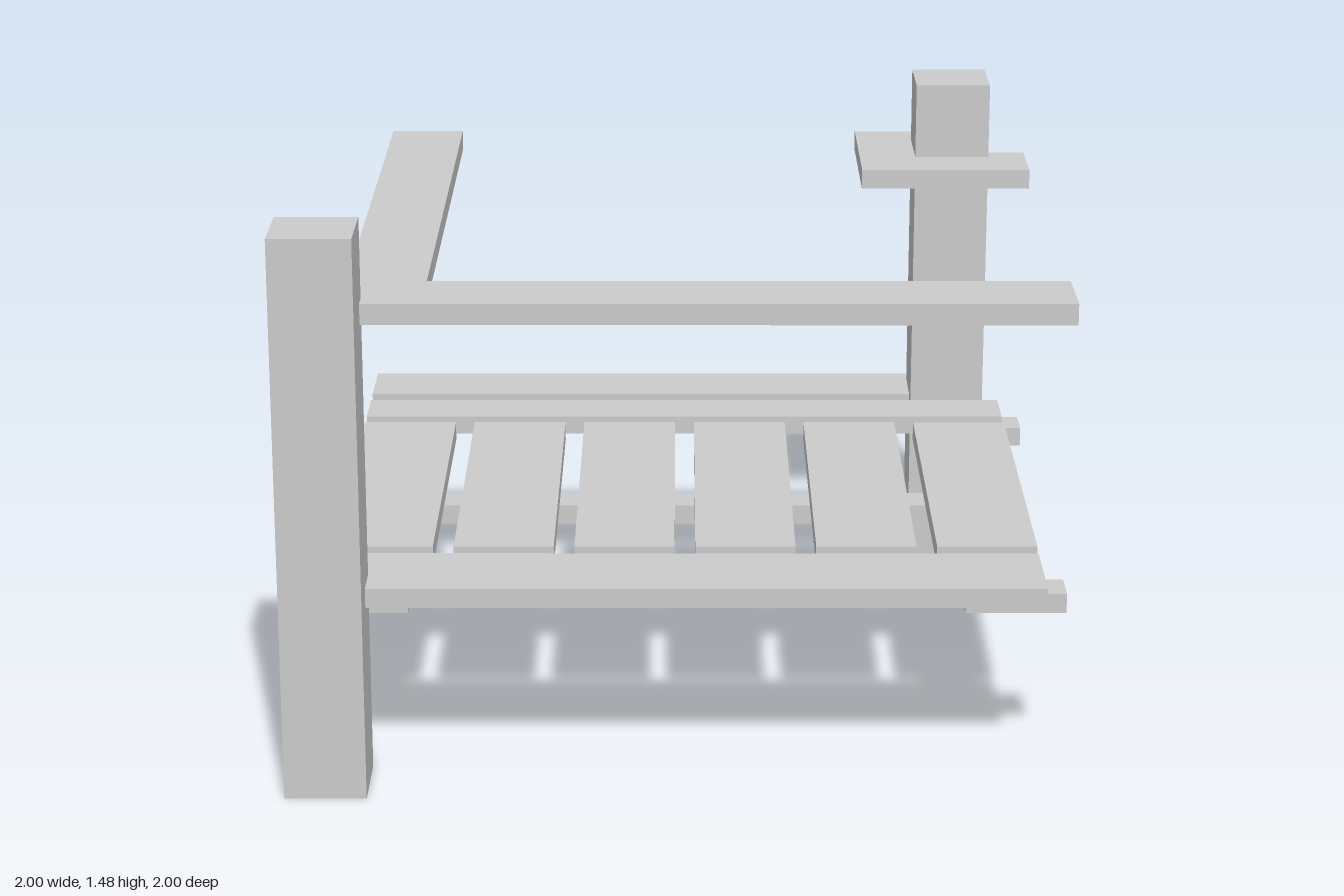
import * as THREE from 'three';

const material = new THREE.MeshStandardMaterial({ color: 0xcccccc, flatShading: true });

// Box given by its extents along x, y and z
function box(parent, name, [x0, x1], [y0, y1], [z0, z1]) {
  const mesh = new THREE.Mesh(new THREE.BoxGeometry(x1 - x0, y1 - y0, z1 - z0), material);
  mesh.position.set((x0 + x1) / 2, (y0 + y1) / 2, (z0 + z1) / 2);
  mesh.name = name;
  parent.add(mesh);
}

// Flat plate cut to an outline of [x, z] points
function plate(parent, name, outline, [y0, y1]) {
  const shape = new THREE.Shape(outline.map(([x, z]) => new THREE.Vector2(x, -z)));
  const geometry = new THREE.ExtrudeGeometry(shape, { depth: y1 - y0, bevelEnabled: false });
  geometry.rotateX(-Math.PI / 2);
  const mesh = new THREE.Mesh(geometry, material);
  mesh.position.y = y0;
  mesh.name = name;
  parent.add(mesh);
}

export function createModel() {
  const model = new THREE.Group();
  model.name = 'slattedPlatform';

  // Two square corner posts
  const postY = [0, 1.475];
  box(model, 'frontPost', [-1, -0.79], postY, [0.79, 1]);
  box(model, 'backPost', [0.685, 0.895], postY, [-0.895, -0.685]);

  // L-shaped top rails
  const railY = [1.21, 1.265];
  plate(model, 'longTopRail', [
    [-0.84, -1], [-0.635, -1], [-0.635, 0.63], [1, 0.63], [1, 0.84], [-0.84, 0.84],
  ], railY);
  plate(model, 'shortTopRail', [
    [0.525, -1], [0.735, -1], [0.735, -0.74], [1, -0.74], [1, -0.53], [0.525, -0.53],
  ], railY);

  // Deck: boards across the front and back, slats between them
  const deckY = [0.478, 0.53];
  const deck = new THREE.Group();
  deck.name = 'deck';
  model.add(deck);
  box(deck, 'frontBoard', [-0.9, 0.94], deckY, [0.63, 0.893]);
  box(deck, 'innerBackBoard', [-0.9, 0.94], deckY, [-0.687, -0.53]);
  box(deck, 'outerBackBoard', [-0.9, 0.785], deckY, [-0.95, -0.745]);
  for (let i = 0; i < 6; i++) {
    const x = -0.9 + i * 0.316;
    box(deck, 'slat', [x, x + 0.262], deckY, [-0.475, 0.577]);
  }

  // Supports under the deck
  const beamY = [0.425, 0.478];
  const supports = new THREE.Group();
  supports.name = 'supports';
  model.add(supports);
  box(supports, 'middleBeam', [-0.9, 0.9], beamY, [0, 0.105]);
  box(supports, 'backRightBeam', [-0.79, -0.69], beamY, [-1, -0.265]);
  box(supports, 'frontRightBeam', [-0.845, -0.69], beamY, [0.37, 0.79]);
  plate(supports, 'frontLeftBracket', [
    [0.74, 0.475], [0.895, 0.475], [0.895, 0.685], [1, 0.685], [1, 0.79], [0.74, 0.79],
  ], beamY);
  plate(supports, 'backLeftBracket', [
    [0.74, -0.685], [1, -0.685], [1, -0.58], [0.895, -0.58], [0.895, -0.37], [0.74, -0.37],
  ], beamY);

  return model;
}
